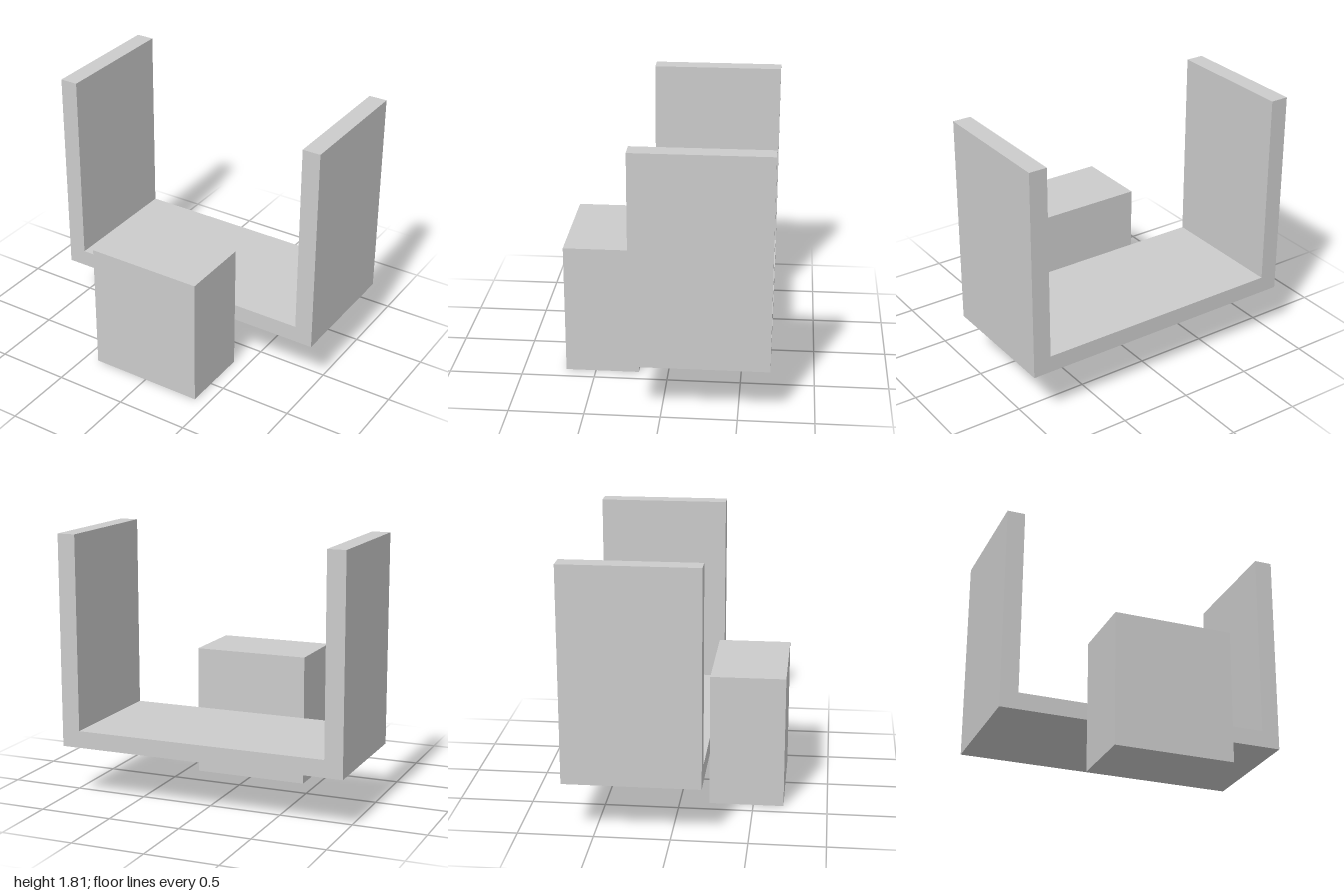
import * as THREE from 'three';

export function createModel() {
  const group = new THREE.Group();
  const material = new THREE.MeshStandardMaterial({ color: 0xcccccc, flatShading: true });

  // U-shaped bracket: floor and two upright walls in one profile
  const bottom = 0.36, floorTop = 0.477, top = 1.81, outer = 1, inner = 0.875;
  const back = -0.705, joint = 0.202, front = 0.705;
  const profile = new THREE.Shape([
    [-outer, bottom], [outer, bottom], [outer, top], [inner, top],
    [inner, floorTop], [-inner, floorTop], [-inner, top], [-outer, top],
  ].map(([x, y]) => new THREE.Vector2(x, y)));
  const bracket = new THREE.Mesh(
    new THREE.ExtrudeGeometry(profile, { depth: joint - back, bevelEnabled: false }),
    material
  );
  bracket.name = 'bracket';
  bracket.position.z = back;
  group.add(bracket);

  // Mounting block against the front edge of the floor
  const blockHeight = 0.91;
  const block = new THREE.Mesh(
    new THREE.BoxGeometry(0.806, blockHeight, front - joint),
    material
  );
  block.name = 'mountingBlock';
  block.position.set(0, blockHeight / 2, (front + joint) / 2);
  group.add(block);

  return group;
}
